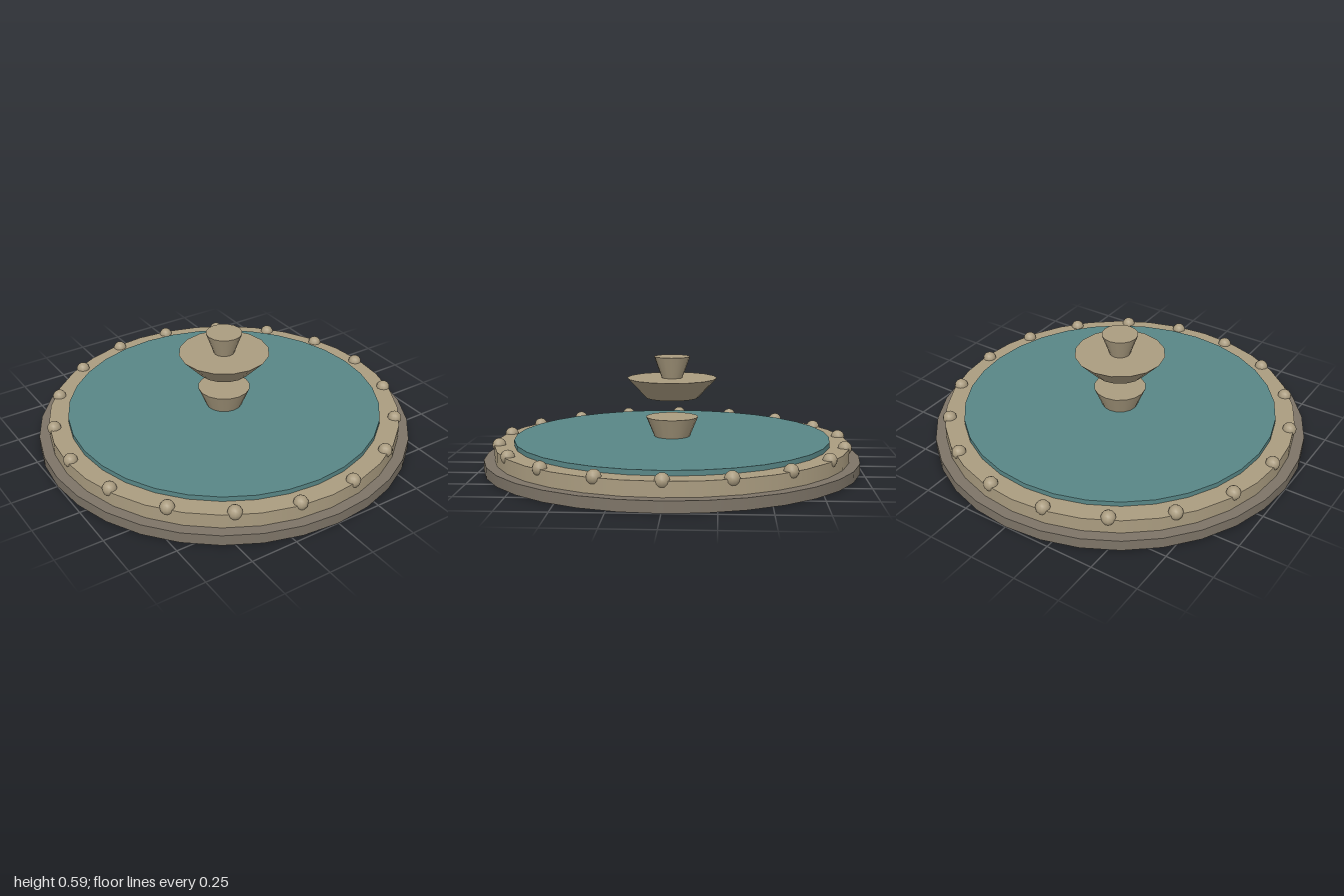
import * as THREE from 'three';

export function createModel() {
  const group = new THREE.Group();
  const material = (name, color) => {
    const m = new THREE.MeshStandardMaterial({ color });
    m.name = name;
    return m;
  };
  const stone = material('sandstone', 0xaa9c80);
  const darkStone = material('dark stone', 0x7d7467);
  const water = material('water', 0x588686);

  // Closed round tier between two heights
  const tier = (name, rBottom, rTop, y0, y1, sides, mat) => {
    const mesh = new THREE.Mesh(new THREE.CylinderGeometry(rTop, rBottom, y1 - y0, sides), mat);
    mesh.name = name;
    mesh.position.y = (y0 + y1) / 2;
    group.add(mesh);
  };

  // Basin
  tier('baseStep', 1, 1, 0, 0.057, 32, darkStone);
  tier('basinRim', 0.943, 0.943, 0.057, 0.132, 32, stone);
  tier('waterSurface', 0.84, 0.84, 0.132, 0.158, 32, water);

  // Central fountain, with an open gap under the bowl
  tier('pedestal', 0.096, 0.14, 0.158, 0.263, 16, stone);
  tier('upperBowl', 0.14, 0.24, 0.367, 0.473, 16, stone);
  tier('finial', 0.055, 0.096, 0.473, 0.587, 16, stone);

  // Beads around the rim
  const beads = new THREE.Group();
  beads.name = 'rimBeads';
  const beadGeometry = new THREE.SphereGeometry(0.037, 12, 8);
  const count = 18;
  for (let i = 0; i < count; i++) {
    const a = (i / count) * Math.PI * 2;
    const bead = new THREE.Mesh(beadGeometry, stone);
    bead.name = 'rimBead';
    bead.position.set(Math.cos(a) * 0.918, 0.13, Math.sin(a) * 0.918);
    beads.add(bead);
  }
  group.add(beads);

  return group;
}
